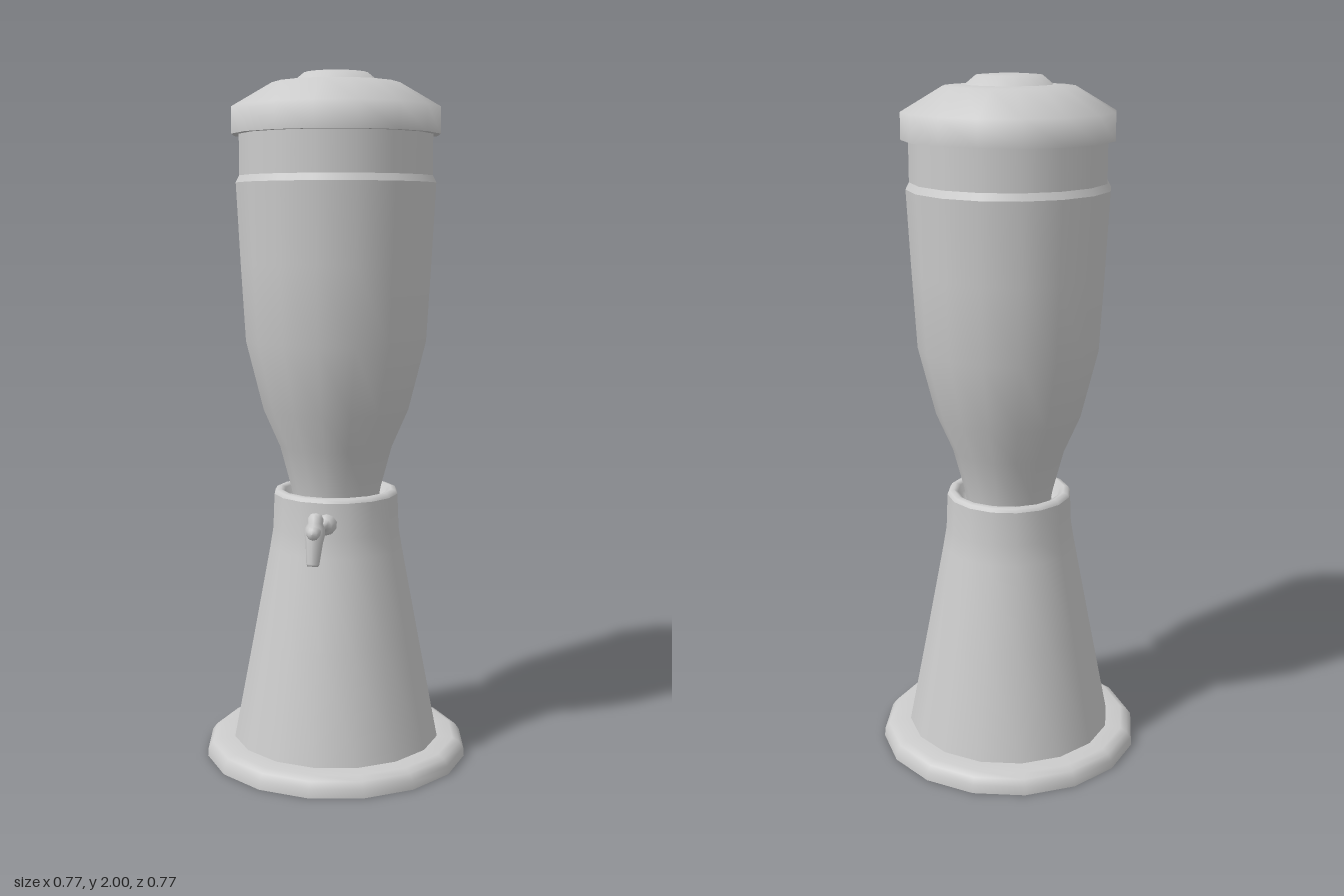
import * as THREE from 'three';

const SIDES = 16, TURN = 0.233;

export function createModel() {
  const group = new THREE.Group();
  const material = new THREE.MeshStandardMaterial({ color: 0xcccccc, side: THREE.DoubleSide });

  const lathe = (name, points, sides = SIDES, turn = TURN) => {
    const profile = points.map(([r, y]) => new THREE.Vector2(r, y));
    const mesh = new THREE.Mesh(new THREE.LatheGeometry(profile, sides, turn), material);
    mesh.name = name;
    group.add(mesh);
    return mesh;
  };
  // Turned part whose axis runs from one point to another
  const turnedAlong = (name, from, to, points, sides = 10) => {
    const mesh = lathe(name, points, sides, 0);
    const dir = to.clone().sub(from).normalize();
    mesh.quaternion.setFromUnitVectors(new THREE.Vector3(0, 1, 0), dir);
    mesh.position.copy(from);
    return mesh;
  };

  // Hollow stand: flared foot, cone and rounded lip
  lathe('foot', [[0.39, 0], [0.388, 0.025], [0.375, 0.043], [0.355, 0.053], [0.308, 0.055]]);
  lathe('standCone', [[0.308, 0.055], [0.247, 0.37], [0.198, 0.63], [0.188, 0.69], [0.184, 0.79]]);
  lathe('standLip', [[0.184, 0.79], [0.178, 0.8], [0.165, 0.803], [0.152, 0.797], [0.146, 0.775], [0.13, 0.765]]);

  // Container with a stepped neck under the lid
  lathe('container', [[0, 0.76], [0.125, 0.76]]);
  lathe('container', [[0.125, 0.76], [0.134, 0.81], [0.166, 0.93], [0.214, 1.04], [0.264, 1.24], [0.277, 1.46], [0.289, 1.69]]);
  lathe('containerStep', [[0.289, 1.69], [0.279, 1.71]]);
  lathe('containerNeck', [[0.279, 1.71], [0.279, 1.83]]);

  // Lid with a low central knob
  lathe('lidUnderside', [[0.26, 1.825], [0.3, 1.825]]);
  lathe('lid', [[0.3, 1.825], [0.3, 1.9], [0.184, 1.968], [0.12, 1.972]]);
  lathe('lidKnob', [[0.125, 1.97], [0.092, 1.997], [0.05, 2], [0, 2]]);

  // Tap: stem pointing outward, leaning body with spout, front knob
  const stemStart = new THREE.Vector3(-0.085, 0.73, 0.155);
  const stemEnd = new THREE.Vector3(-0.158, 0.737, 0.262);
  turnedAlong('tapStem', stemStart, stemEnd, [
    [0.03, 0], [0.03, 0.022], [0.022, 0.034], [0.011, 0.04],
    [0.011, 0.085], [0.018, 0.1], [0.018, 0.13]]);
  const spoutEnd = new THREE.Vector3(-0.17, 0.642, 0.272);
  const handleEnd = new THREE.Vector3(-0.15, 0.785, 0.245);
  turnedAlong('tapBody', spoutEnd, handleEnd, [
    [0, 0], [0.015, 0], [0.018, 0.006], [0.024, 0.065], [0.028, 0.085],
    [0.027, 0.105], [0.021, 0.118], [0.022, 0.132], [0.014, 0.144], [0, 0.147]]);
  const out = stemEnd.clone().sub(stemStart).setY(0).normalize();
  turnedAlong('tapKnob', stemEnd, stemEnd.clone().add(out), [
    [0.018, 0], [0.019, 0.028], [0.013, 0.037], [0, 0.04]]);

  return group;
}
